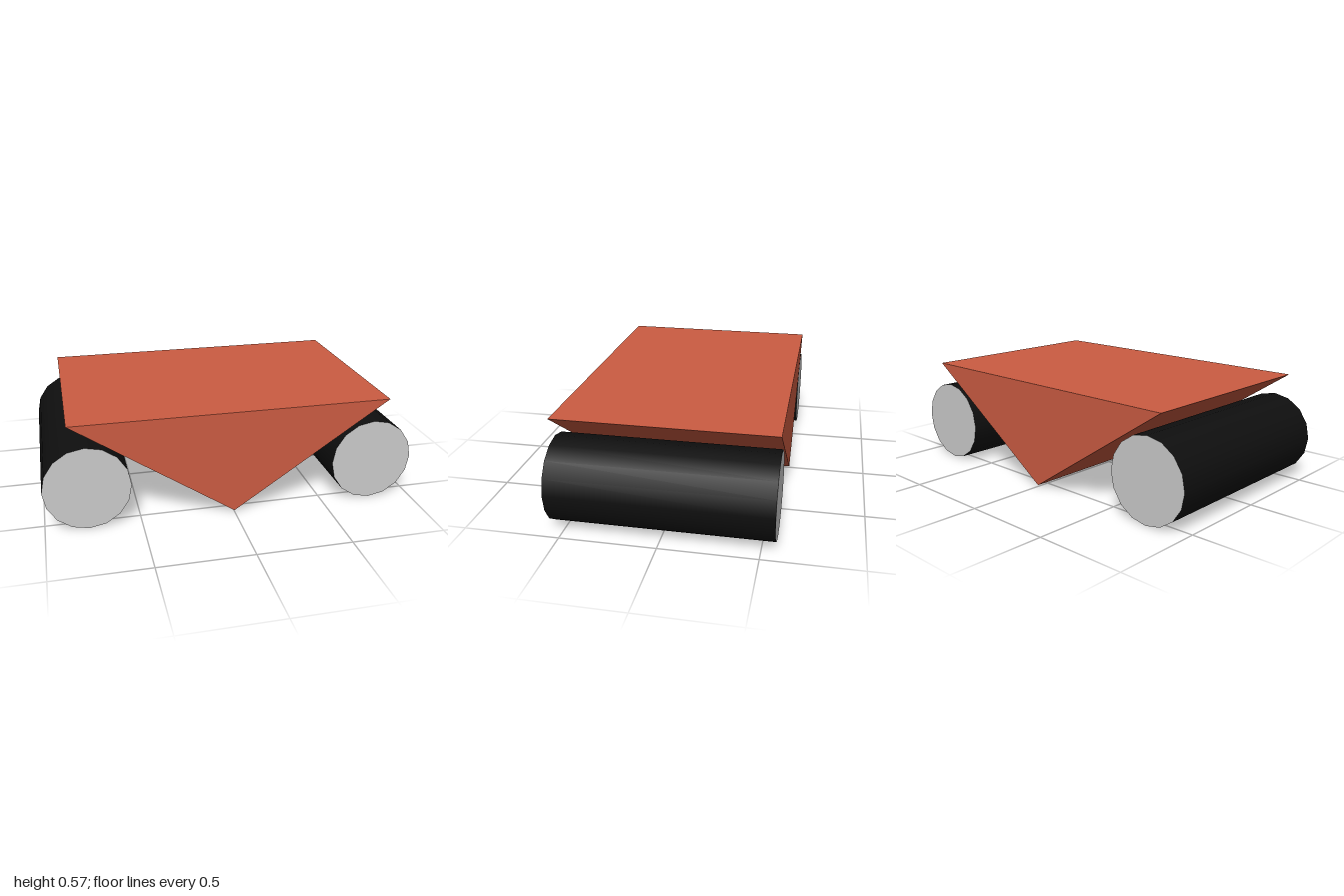
import * as THREE from 'three';

const DEPTH = 1.14;

export function createModel() {
  const model = new THREE.Group();
  model.name = 'wedgeVehicle';

  const orange = new THREE.MeshStandardMaterial({ name: 'burnt orange', color: 0xcc5c42 });
  const black = new THREE.MeshStandardMaterial({ name: 'roller black', color: 0x0f0f0f });
  const grey = new THREE.MeshStandardMaterial({ name: 'end cap grey', color: 0xcccccc });

  // Triangular body, flat side up, pointed keel below
  const section = new THREE.Shape([
    new THREE.Vector2(-0.855, 0.578),
    new THREE.Vector2(0, 0.01),
    new THREE.Vector2(0.852, 0.578),
  ]);
  const bodyGeometry = new THREE.ExtrudeGeometry(section, { depth: DEPTH, bevelEnabled: false });
  bodyGeometry.translate(0, 0, -DEPTH / 2);
  const body = new THREE.Mesh(bodyGeometry, orange);
  body.name = 'body';
  model.add(body);

  // Long rollers on both sides: black tread, grey ends
  const rollerGeometry = new THREE.CylinderGeometry(0.227, 0.227, DEPTH, 16);
  rollerGeometry.rotateX(Math.PI / 2);
  for (const [name, side] of [['leftRoller', 1], ['rightRoller', -1]]) {
    const roller = new THREE.Mesh(rollerGeometry, [black, grey, grey]);
    roller.name = name;
    roller.position.set(side * 0.773, 0.23, 0);
    model.add(roller);
  }

  return model;
}
